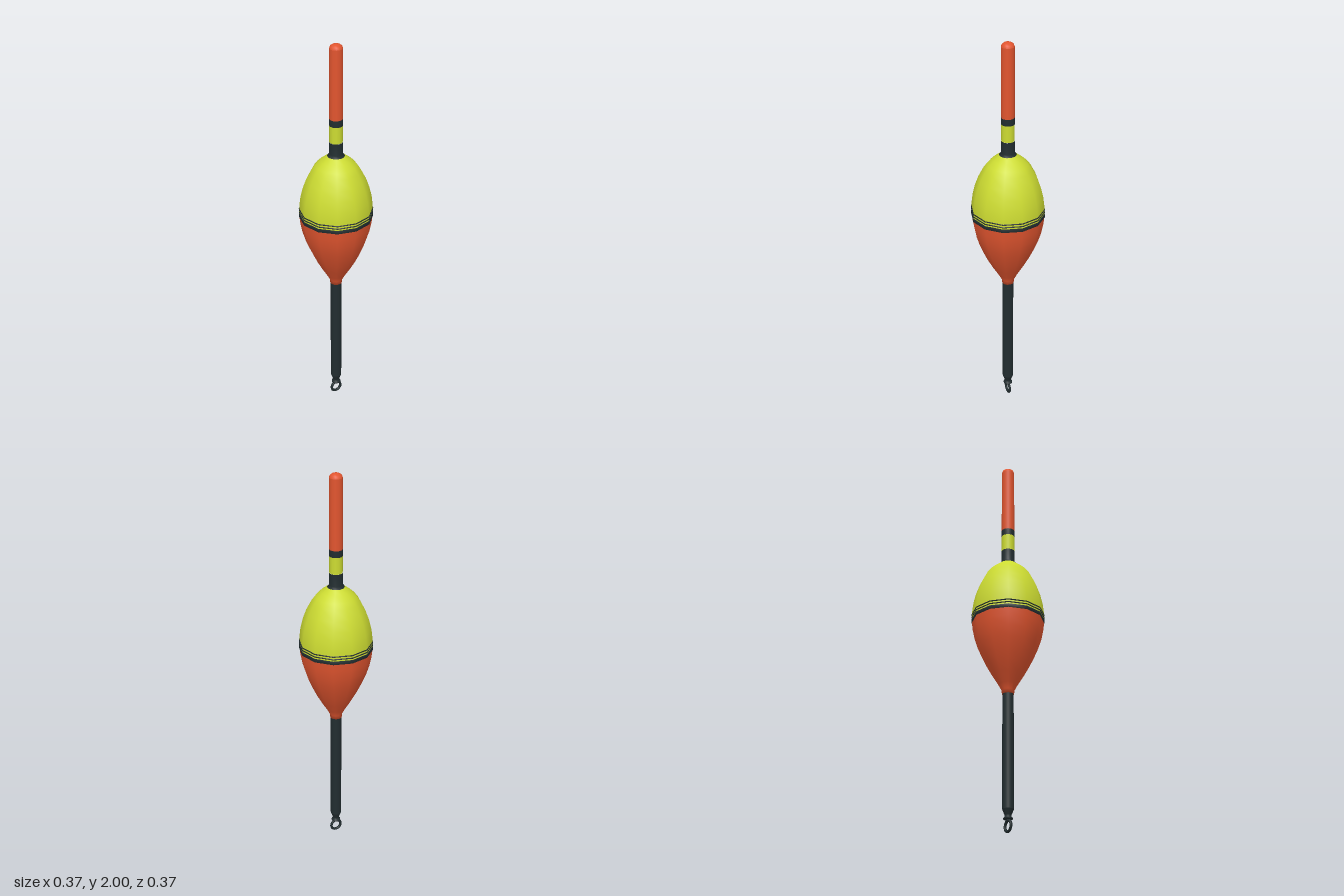
import * as THREE from 'three';

const SIDES = 12;

export function createModel() {
  const mat = (name, color) => {
    const m = new THREE.MeshStandardMaterial({ color });
    m.name = name;
    return m;
  };
  const orange = mat('orange', 0xe2552f);
  const yellow = mat('yellow', 0xcddc32);
  const dark = mat('dark', 0x222d30);

  const model = new THREE.Group();
  model.name = 'fishingFloat';

  // Turned part from [radius, y] pairs, listed bottom to top
  const turned = (name, material, profile) => {
    const pts = profile.map(([r, y]) => new THREE.Vector2(r, y));
    const mesh = new THREE.Mesh(new THREE.LatheGeometry(pts, SIDES), material);
    mesh.name = name;
    model.add(mesh);
  };

  // Egg-shaped body in two colours
  turned('lowerBody', orange, [
    [0, 0.7], [0.03, 0.7], [0.032, 0.72], [0.048, 0.75], [0.079, 0.8], [0.107, 0.85],
    [0.131, 0.9], [0.152, 0.95], [0.168, 1.0], [0.178, 1.05], [0.183, 1.095],
  ]);
  turned('upperBody', yellow, [
    [0.183, 1.095], [0.182, 1.15], [0.176, 1.2], [0.164, 1.25], [0.146, 1.3],
    [0.12, 1.35], [0.101, 1.376], [0.076, 1.4], [0.046, 1.423], [0.034, 1.435], [0, 1.435],
  ]);

  // Dark waist band with two fine lines above it
  [[1.09, 1.108], [1.116, 1.121], [1.13, 1.135]].forEach(([y0, y1], i) => {
    turned('waistBand' + (i + 1), dark, [
      [0.18, y0], [0.185, y0], [0.185, y1], [0.18, y1],
    ]);
  });

  // Antenna with coloured sections
  turned('antennaCollar', dark, [[0.044, 1.425], [0.034, 1.437], [0.034, 1.5]]);
  turned('antennaYellow', yellow, [[0.033, 1.5], [0.033, 1.587]]);
  turned('antennaBand', dark, [[0.033, 1.587], [0.034, 1.587], [0.034, 1.621], [0.033, 1.621]]);
  turned('antennaTip', orange, [[0.033, 1.621], [0.033, 1.978]]);
  turned('antennaCap', orange, [[0.033, 1.978], [0.029, 1.989], [0.018, 1.997], [0, 2]]);

  // Lower stem, narrowing to a small foot
  turned('stem', dark, [[0.028, 0.705], [0.028, 0.115]]
    .reverse());
  turned('stemTaper', dark, [[0.016, 0.085], [0.028, 0.115]]);
  turned('stemFoot', dark, [[0, 0.066], [0.023, 0.066], [0.023, 0.073], [0.016, 0.076], [0.016, 0.085]]);

  // Line eyelet
  const eyelet = new THREE.Mesh(new THREE.TorusGeometry(0.027, 0.007, 8, 20), dark);
  eyelet.name = 'eyelet';
  eyelet.position.y = 0.034;
  model.add(eyelet);

  return model;
}
